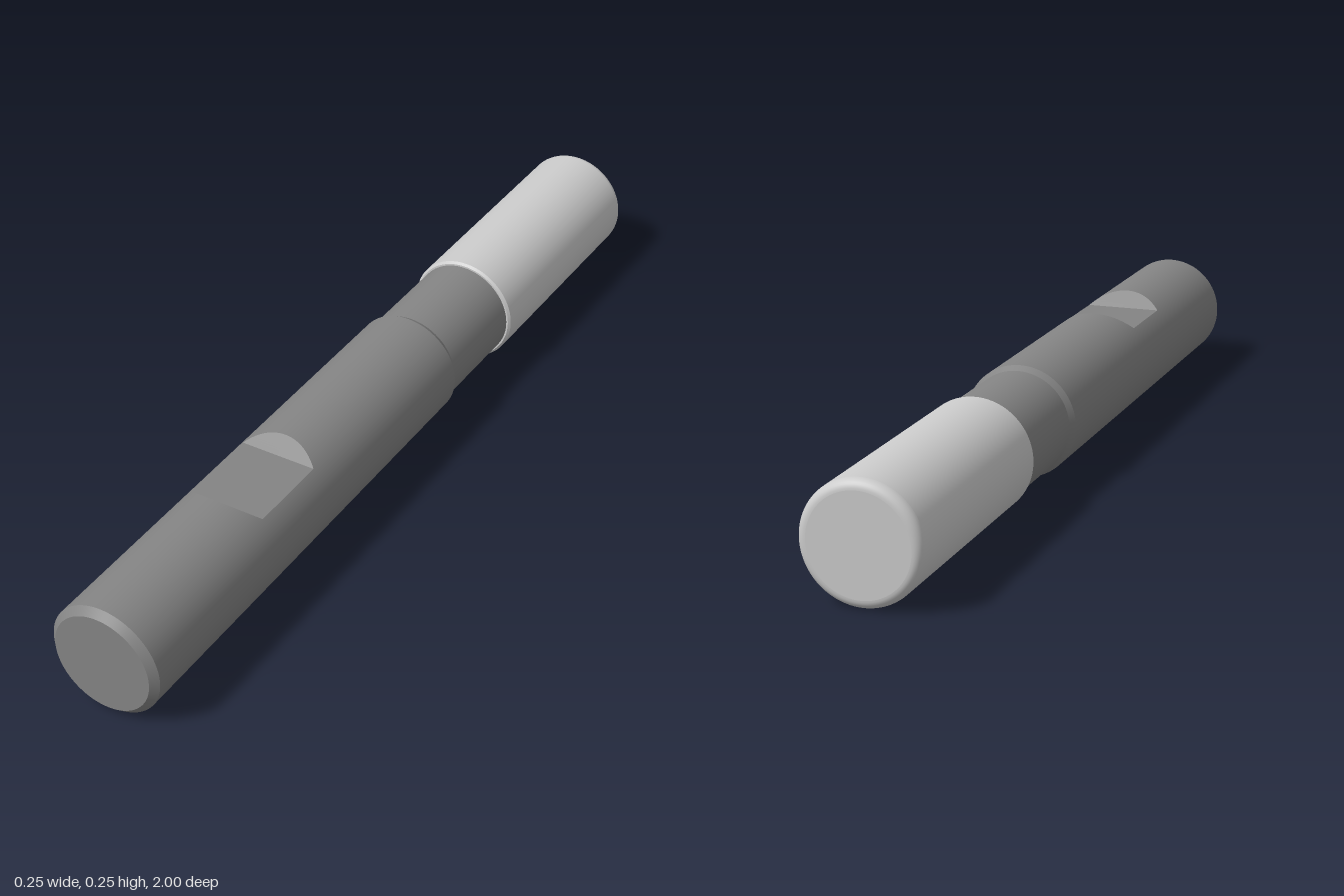
import * as THREE from 'three';
import { mergeGeometries } from 'three/addons/utils/BufferGeometryUtils.js';

const R = 0.125;        // shank and head radius
const NECK = 0.116;     // relieved neck radius
const FLAT = 0.09;      // height of the clamping flat above the axis
const SEGMENTS = 128;

// Turned surface along z from [radius, z] profiles; each profile is smooth, joints between them stay sharp
function turned(...profiles) {
  return mergeGeometries(profiles.map((profile) => {
    const points = profile.map(([r, z]) => new THREE.Vector2(r, z));
    return new THREE.LatheGeometry(points, SEGMENTS).rotateX(Math.PI / 2);
  }));
}

// Quarter-round profile between two angles
function fillet(r, z, radius, from, to) {
  return Array.from({ length: 9 }, (_, i) => {
    const a = from + (to - from) * i / 8;
    return [r + radius * Math.cos(a), z + radius * Math.sin(a)];
  });
}

// Grid surface whose vertices follow place(u, v, target)
function surface(nu, nv, place) {
  const geometry = new THREE.PlaneGeometry(1, 1, nu, nv);
  const pos = geometry.attributes.position;
  const p = new THREE.Vector3();
  for (let i = 0; i < pos.count; i++) {
    place(pos.getX(i) + 0.5, pos.getY(i) + 0.5, p);
    pos.setXYZ(i, p.x, p.y, p.z);
  }
  geometry.computeVertexNormals();
  return geometry;
}

export function createModel() {
  const model = new THREE.Group();
  const steel = new THREE.MeshStandardMaterial({ color: 0x848484 });
  const light = new THREE.MeshStandardMaterial({ color: 0xcccccc });

  const body = new THREE.Group();
  body.position.y = R;
  model.add(body);
  const add = (name, geometry, material) => {
    const mesh = new THREE.Mesh(geometry, material);
    mesh.name = name;
    body.add(mesh);
  };

  // Shank on both sides of the notch, with chamfered front end
  add('shankFront', turned(
    [[R, 0.605], [R, 0.985]],
    [[R, 0.985], [0.11, 1]],
    [[0.11, 1], [0, 1]],
  ), steel);
  add('shankRear', turned([[R, -0.15], [R, 0.35]]), steel);

  // Notched length: front ramp, floor and rear ramp; depth runs 0 to 1
  const sections = [
    { name: 'frontRamp', z0: 0.605, z1: 0.57, depth: (t) => t, steps: 16 },
    { name: 'clampingFlat', z0: 0.57, z1: 0.38, depth: () => 1, steps: 1 },
    { name: 'rearRamp', z0: 0.38, z1: 0.35, depth: (t) => 1 - t, steps: 16 },
  ];
  for (const { name, z0, z1, depth, steps } of sections) {
    // Stations crowd toward the shallow end, where the outline curves most
    const station = (v) => {
      const t = name === 'frontRamp' ? v * v : name === 'rearRamp' ? 1 - (1 - v) ** 2 : v;
      const height = R - (R - FLAT) * depth(t);
      return { z: z0 + (z1 - z0) * t, height, angle: Math.acos(Math.min(1, height / R)) };
    };
    const wall = surface(SEGMENTS, steps, (u, v, p) => {
      const { z, angle } = station(v);
      const a = angle + u * 2 * (Math.PI - angle);
      p.set(R * Math.sin(a), R * Math.cos(a), z);
    });
    // The wall is cylindrical, so its normals are radial
    const pos = wall.attributes.position;
    for (let i = 0; i < pos.count; i++) {
      wall.attributes.normal.setXYZ(i, pos.getX(i) / R, pos.getY(i) / R, 0);
    }
    add(name + 'Wall', wall, steel);
    add(name, surface(2, steps, (u, v, p) => {
      const { z, height, angle } = station(v);
      p.set((2 * u - 1) * R * Math.sin(angle), height, z);
    }), steel);
  }

  // Relieved neck with tapered shoulder
  add('neck', turned(
    [[NECK, -0.42], [NECK, -0.165]],
    [[NECK, -0.165], [R, -0.15]],
  ), steel);

  // Head with rounded rear edge and small bevel toward the neck
  const round = 0.02;
  add('head', turned(
    [[0, -1], [R - round, -1]],
    fillet(R - round, -1 + round, round, -Math.PI / 2, 0),
    [[R, -1 + round], [R, -0.415]],
    [[R, -0.415], [0.12, -0.41]],
    [[0.12, -0.41], [NECK - 0.002, -0.41]],
  ), light);

  return model;
}
